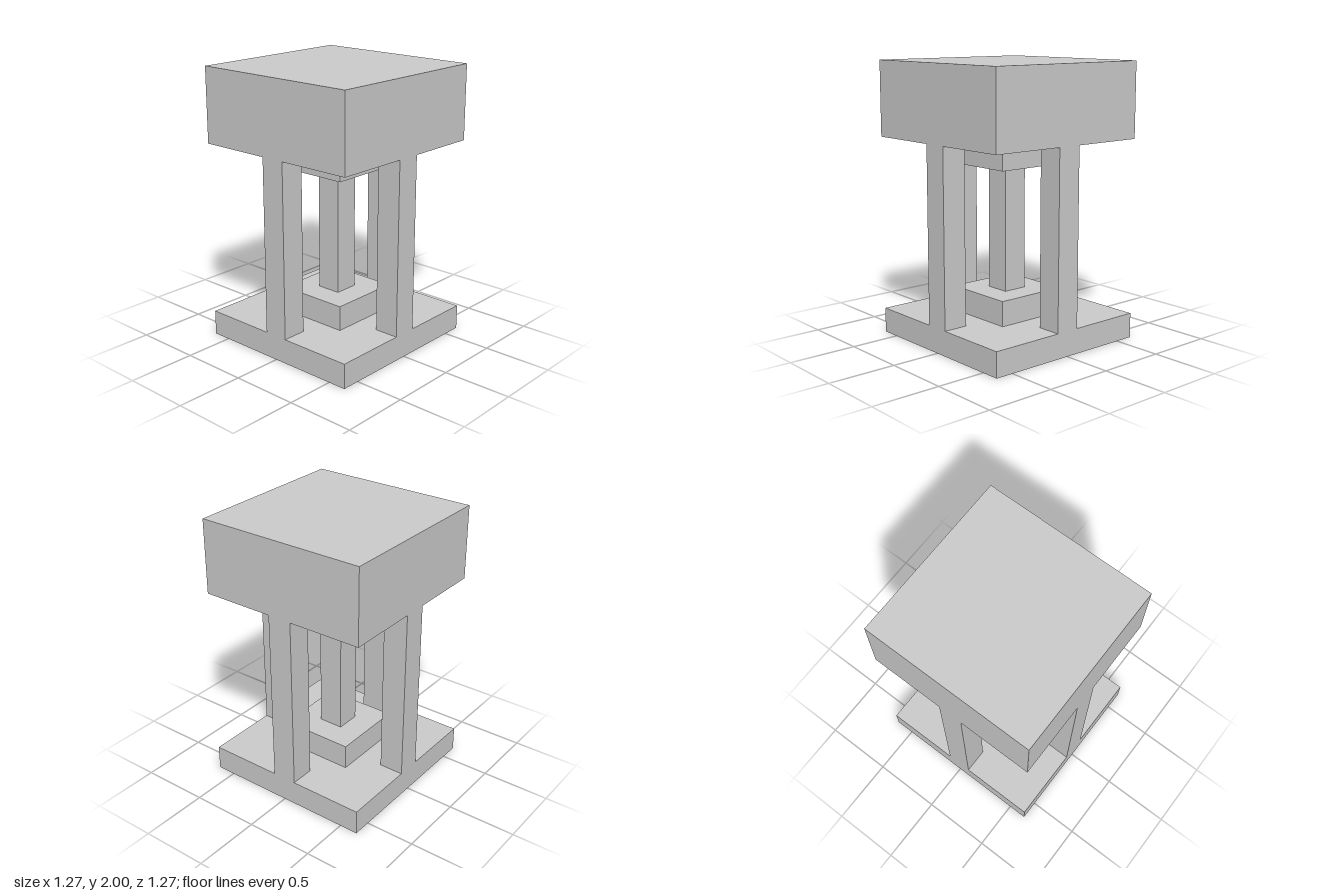
import * as THREE from 'three';

// One module: the whole model is 11 modules high and 7 wide
const U = 2 / 11;

export function createModel() {
  const model = new THREE.Group();
  const material = new THREE.MeshStandardMaterial({ color: 0xcccccc, flatShading: true });

  // Square block: width and height in modules, bottom level, centre in x and z
  function block(name, width, height, bottom, x = 0, z = 0) {
    const mesh = new THREE.Mesh(new THREE.BoxGeometry(width * U, height * U, width * U), material);
    mesh.name = name;
    mesh.position.set(x * U, (bottom + height / 2) * U, z * U);
    model.add(mesh);
  }

  // Base slab and heavy top
  block('base', 7, 1, 0);
  block('top', 7, 3, 8);

  // Central column between its plinth and capital
  block('plinth', 3, 1, 1);
  block('centralColumn', 1, 5, 2);
  block('capital', 3, 1, 7);

  // One post at the middle of each side
  const sides = { left: [3, 0], right: [-3, 0], front: [0, 3], back: [0, -3] };
  for (const [side, [x, z]] of Object.entries(sides)) block(side + 'Post', 1, 7, 1, x, z);

  return model;
}
